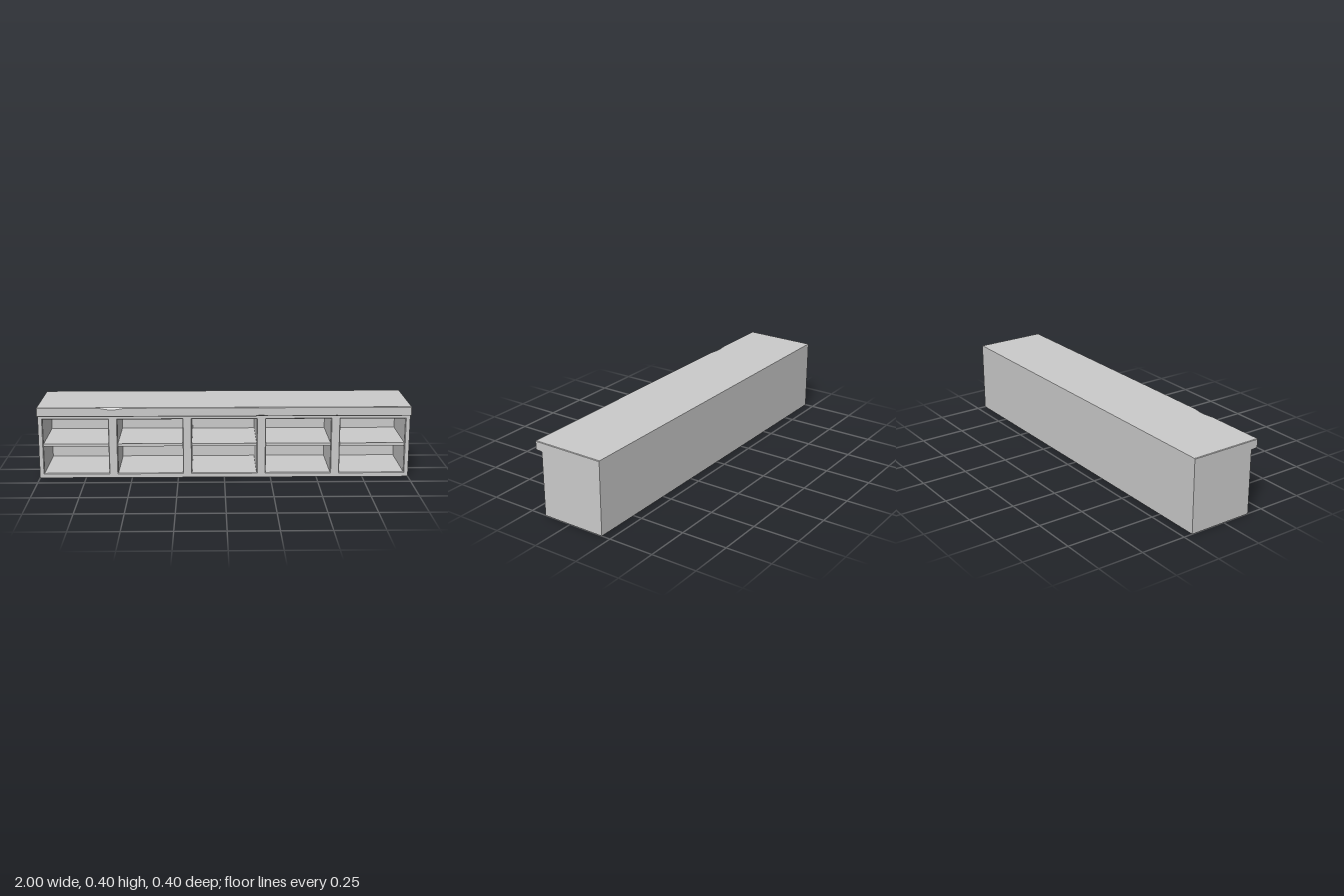
import * as THREE from 'three';

const material = new THREE.MeshStandardMaterial({ color: 0xcccccc, flatShading: true });
const BAYS = [-0.8, -0.4, 0, 0.4, 0.8];
const HOLE = { w: 0.35, bottom: 0.025, top: 0.325 };
const BACK = -0.2, FRONT = 0.16, INNER_BACK = -0.175, BEVEL = 0.004;

function add(group, name, geometry, x = 0, y = 0, z = 0) {
  const mesh = new THREE.Mesh(geometry, material);
  mesh.name = name;
  mesh.position.set(x, y, z);
  group.add(mesh);
}

function rect(path, x0, y0, x1, y1) {
  path.moveTo(x0, y0);
  path.lineTo(x1, y0);
  path.lineTo(x1, y1);
  path.lineTo(x0, y1);
  path.closePath();
  return path;
}

// Carcass with five open bays; the front rim of each opening is chamfered.
function carcassGeometry() {
  const shape = rect(new THREE.Shape(), -1, 0, 1, 0.35);
  for (const x of BAYS) {
    shape.holes.push(rect(new THREE.Path(), x - HOLE.w / 2, HOLE.bottom, x + HOLE.w / 2, HOLE.top));
  }
  const depth = FRONT - INNER_BACK;
  const geometry = new THREE.ExtrudeGeometry(shape, { depth, steps: 2, bevelEnabled: false });
  const p = geometry.attributes.position;
  for (let i = 0; i < p.count; i++) {
    const x = p.getX(i), y = p.getY(i), z = p.getZ(i);
    const onHole = Math.abs(x) < 0.99 && y > 0.01 && y < 0.34;
    if (z > depth - 1e-4 && onHole) {
      const centre = BAYS.find((b) => Math.abs(x - b) < 0.19);
      p.setX(i, x + Math.sign(x - centre) * BEVEL);
      p.setY(i, y + Math.sign(y - 0.175) * BEVEL);
    } else if (z > 1e-4 && z < depth - 1e-4) {
      p.setZ(i, depth - BEVEL);
    }
  }
  geometry.computeVertexNormals();
  return geometry;
}

// Counter slab swept along x: [x, top edge chamfer, bottom edge chamfer, end inset].
function counterGeometry() {
  const e = 0.003;
  const stations = [
    [-1, e, e, e], [-0.997, e, e, 0],
    [-0.67, e, e, 0], [-0.62, 0.011, e, 0], [-0.58, 0.011, e, 0], [-0.53, e, e, 0],
    [0.165, e, e, 0], [0.19, e, 0.008, 0], [0.21, e, 0.007, 0], [0.235, e, e, 0],
    [0.585, e, e, 0], [0.6, e, 0.006, 0], [0.615, e, e, 0],
    [0.997, e, e, 0], [1, e, e, e],
  ];
  const positions = [], index = [];
  for (const [x, t, b, inset] of stations) {
    const f = 0.2 - inset, top = 0.4 - inset, low = 0.35 + inset;
    const ring = [[BACK, 0.35], [BACK, top], [f - t, top], [f, top - t], [f, low + b], [f - b, low], [FRONT - 0.005, 0.35]];
    for (const [z, y] of ring) positions.push(x, y, z);
  }
  const n = 7, last = (stations.length - 1) * n;
  for (let s = 0; s < stations.length - 1; s++) {
    for (let k = 0; k < n; k++) {
      const a = s * n + k, b = s * n + (k + 1) % n;
      index.push(a, a + n, b, b, a + n, b + n);
    }
  }
  // End caps
  for (let k = 1; k < n - 1; k++) {
    index.push(0, k, k + 1, last, last + k + 1, last + k);
  }
  const indexed = new THREE.BufferGeometry();
  indexed.setAttribute('position', new THREE.Float32BufferAttribute(positions, 3));
  indexed.setIndex(index);
  // Make sure the faces point outwards
  const volume = signedVolume(positions, index);
  if (volume < 0) indexed.setIndex(index.reverse());
  const geometry = indexed.toNonIndexed();
  geometry.computeVertexNormals();
  return geometry;
}

function signedVolume(positions, index) {
  const [a, b, c] = [new THREE.Vector3(), new THREE.Vector3(), new THREE.Vector3()];
  let sum = 0;
  for (let i = 0; i < index.length; i += 3) {
    a.fromArray(positions, index[i] * 3);
    b.fromArray(positions, index[i + 1] * 3);
    c.fromArray(positions, index[i + 2] * 3);
    sum += a.dot(b.cross(c));
  }
  return sum;
}

export function createModel() {
  const group = new THREE.Group();
  group.name = 'shelfCounter';

  add(group, 'carcass', carcassGeometry(), 0, 0, INNER_BACK);
  add(group, 'backPanel', new THREE.BoxGeometry(2, 0.35, INNER_BACK - BACK), 0, 0.175, (BACK + INNER_BACK) / 2);
  add(group, 'counterTop', counterGeometry());

  // One shelf per bay, set slightly back from the front
  const shelfFront = FRONT - 0.008;
  for (const x of BAYS) {
    add(group, 'shelf', new THREE.BoxGeometry(HOLE.w, 0.015, shelfFront - INNER_BACK), x, 0.181, (shelfFront + INNER_BACK) / 2);
  }
  return group;
}
